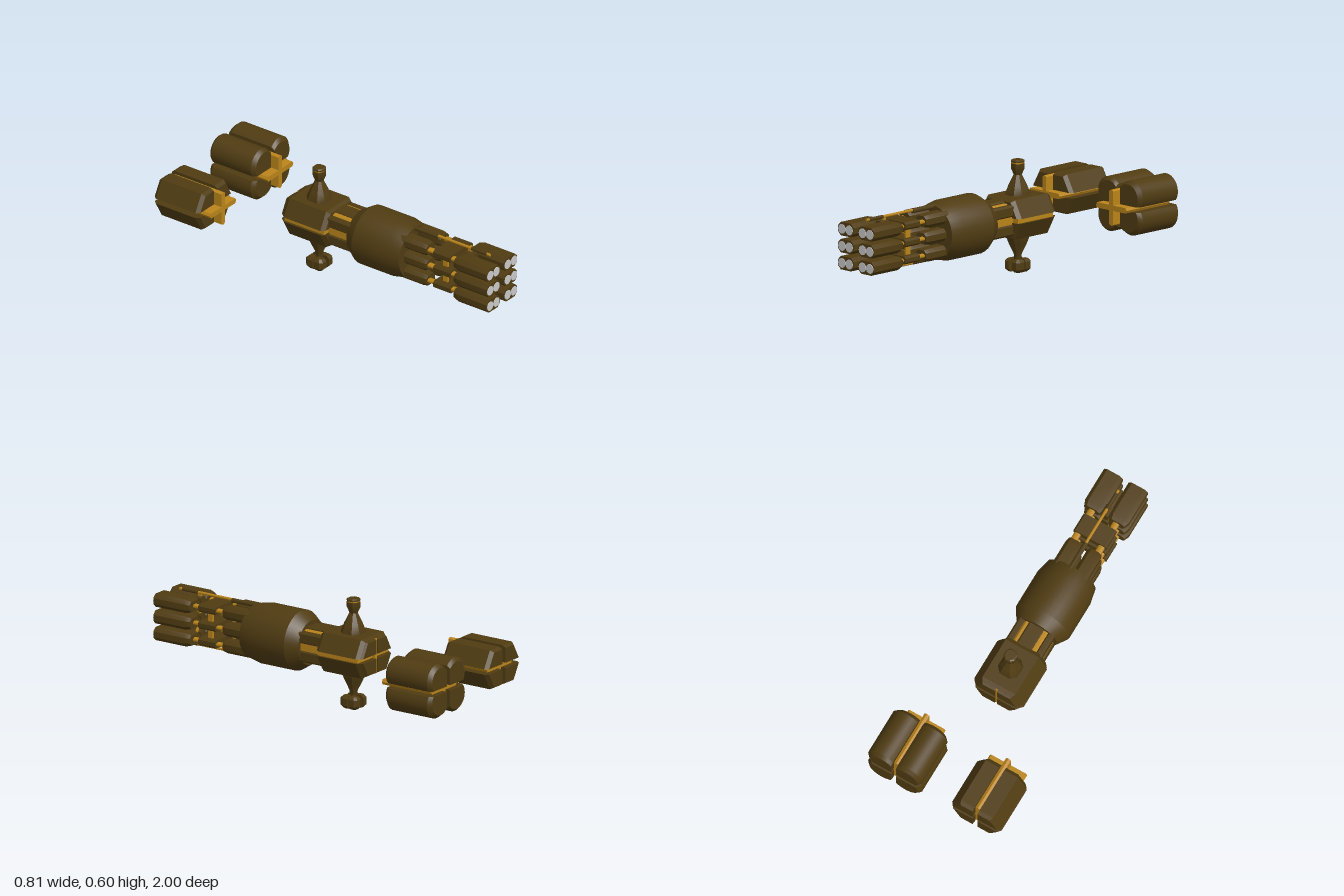
import * as THREE from 'three';
import { toCreasedNormals } from 'three/addons/utils/BufferGeometryUtils.js';

const hull = new THREE.MeshStandardMaterial({ color: 0x503c12 });
const gold = new THREE.MeshStandardMaterial({ color: 0xbb851a });
const grey = new THREE.MeshStandardMaterial({ color: 0xcccccc });
const SIDES = [-1, 1];
const CX = -0.008, CY = 0.308; // hull axis

// Convex profile [x, y] swept along z; each ring is [z, scaleX, scaleY] about the anchor
function loft(profile, rings, [ax, ay] = [0, 0]) {
  const pts = profile.map(([x, y]) => new THREE.Vector2(x, y));
  if (THREE.ShapeUtils.area(pts) < 0) pts.reverse();
  const n = pts.length, pos = [];
  const loops = rings.map(([z, sx, sy = sx]) =>
    pts.map(p => [ax + (p.x - ax) * sx, ay + (p.y - ay) * sy, z]));
  const tri = (a, b, c) => pos.push(...a, ...b, ...c);
  for (let i = 0; i < loops.length - 1; i++) {
    for (let j = 0; j < n; j++) {
      const k = (j + 1) % n, lo = loops[i], hi = loops[i + 1];
      tri(lo[j], lo[k], hi[k]);
      tri(lo[j], hi[k], hi[j]);
    }
  }
  const first = loops[0], last = loops[loops.length - 1];
  for (let j = 1; j < n - 1; j++) {
    tri(first[0], first[j + 1], first[j]);
    tri(last[0], last[j], last[j + 1]);
  }
  const g = new THREE.BufferGeometry();
  g.setAttribute('position', new THREE.Float32BufferAttribute(pos, 3));
  return toCreasedNormals(g, 0.4);
}

// Rectangle with cut corners
function octagon(w, h, c) {
  const x = w / 2, y = h / 2;
  return [[x, y - c], [x - c, y], [c - x, y], [-x, y - c], [-x, c - y], [c - x, -y], [x - c, -y], [x, c - y]];
}

function add(parent, name, geo, mat, x = 0, y = 0, z = 0) {
  const m = new THREE.Mesh(geo, mat);
  m.name = name;
  m.position.set(x, y, z);
  parent.add(m);
  return m;
}

const box = (w, h, d) => new THREE.BoxGeometry(w, h, d);

function rod(r, len) {
  return new THREE.CylinderGeometry(r, r, len, 8).rotateX(Math.PI / 2);
}

function group(parent, name, x = 0, y = 0, z = 0) {
  const g = new THREE.Group();
  g.name = name;
  g.position.set(x, y, z);
  parent.add(g);
  return g;
}

// Three rows of paired launcher pods with their supply rods
function buildPods(ship) {
  const g = group(ship, 'frontPods', CX, CY);
  const pod = loft(octagon(0.115, 0.072, 0.02), [[0.77, 0.8], [0.8, 1], [0.997, 1]]);
  const lens = new THREE.CylinderGeometry(0.026, 0.026, 0.006, 20).rotateX(Math.PI / 2);
  const collar = loft(octagon(0.2, 0.042, 0.01), [[0.62, 1], [0.73, 1]]);
  const socket = loft(octagon(0.085, 0.068, 0.018), [[0.4, 1], [0.55, 1], [0.575, 0.85]]);
  const bridge = loft(octagon(0.042, 0.064, 0.008), [[0.77, 1], [0.83, 1]]);
  for (const row of [-1, 0, 1]) {
    const y = row * 0.0915;
    for (const s of SIDES) {
      add(g, 'launcherPod', pod, hull, s * 0.075, y);
      add(g, 'podSocket', socket, hull, s * 0.061, y);
      add(g, 'supplyRod', rod(0.019, 0.25), gold, s * 0.073, y, 0.66).scale.y = 0.6;
      for (const o of SIDES) add(g, 'podLens', lens, grey, s * 0.076 + o * 0.027, y, 0.997);
    }
    add(g, 'podBridge', bridge, hull, 0, y);
    add(g, 'rodCollar', collar, hull, 0, y);
  }
  // Uprights and struts tying the rows together
  for (const s of SIDES) {
    add(g, 'collarUpright', box(0.012, 0.18, 0.03), gold, s * 0.06, 0, 0.675);
    for (const v of SIDES) {
      const strut = add(g, 'rowStrut', box(0.01, 0.055, 0.012), gold, s * 0.017, v * 0.048, 0.79);
      strut.rotation.z = -s * v * 0.7;
    }
  }
  // Long sensor booms above and below
  for (const v of SIDES) {
    add(g, 'boom', rod(0.008, 0.5), gold, 0, v * 0.142, 0.67);
    add(g, 'boomRoot', rod(0.013, 0.17), hull, 0, v * 0.138, 0.495);
    add(g, 'boomTip', rod(0.01, 0.1), hull, 0, v * 0.142, 0.85);
    add(g, 'boomBrace', box(0.012, 0.05, 0.02), gold, 0, v * 0.12, 0.79);
  }
}

// Drum and ribbed neck
function buildDrum(ship) {
  const g = group(ship, 'midSection', CX, CY);
  const circle = Array.from({ length: 32 }, (_, i) =>
    [Math.cos(i * Math.PI / 16), Math.sin(i * Math.PI / 16)]);
  add(g, 'drum', loft(circle, [[0.065, 0.122], [0.13, 0.163], [0.35, 0.163], [0.43, 0.146]]), hull);
  add(g, 'neckCore', loft(octagon(0.2, 0.17, 0.04), [[-0.08, 1], [0.08, 1]]), gold);
  const rib = loft(octagon(0.09, 0.036, 0.008), [[-0.08, 1], [0.08, 1]]);
  const sideRib = loft(octagon(0.04, 0.065, 0.01), [[-0.08, 1], [0.08, 1]]);
  for (const v of SIDES) {
    add(g, 'neckRib', rib, hull, 0, v * 0.079);
    for (const s of SIDES) add(g, 'neckSideRib', sideRib, hull, s * 0.087, v * 0.05);
  }
}

// Six-sided rear hull split into quarters by gold seams
function buildRearHull(ship) {
  const g = group(ship, 'rearHull', CX, CY);
  for (const v of SIDES) {
    const half = [[-0.15, 0.013], [0.15, 0.013], [0.1, 0.106], [-0.1, 0.106]].map(([x, y]) => [x, y * v]);
    add(g, 'hullHalf', loft(half, [[-0.345, 0.88], [-0.325, 1], [-0.085, 1], [-0.063, 0.88]], [0, 0.013 * v]), hull);
    for (const s of SIDES) {
      const end = [[0.007, 0.013], [0.132, 0.013], [0.088, 0.095], [0.007, 0.095]].map(([x, y]) => [x * s, y * v]);
      add(g, 'rearPlate', loft(end, [[-0.358, 0.93], [-0.344, 1]], [0.007 * s, 0.013 * v]), hull);
    }
  }
  add(g, 'sideSeam', box(0.272, 0.028, 0.26), gold, 0, 0, -0.2);
  add(g, 'rearSeam', box(0.014, 0.19, 0.02), gold, 0, 0, -0.34);
}

// Faceted tower standing along y, rings given as [height, half width]
function tower(parent, name, rings, mat, flip = 1) {
  const m = add(parent, name, loft(octagon(2, 2, 0.5), rings), mat);
  m.rotation.x = -flip * Math.PI / 2;
  return m;
}

function buildTowers(ship) {
  const g = group(ship, 'towers', CX, CY, -0.205);
  const cone = [[0.09, 0.06], [0.112, 0.06], [0.155, 0.045], [0.212, 0.02]];
  tower(g, 'upperTower', [...cone, [0.245, 0.033], [0.272, 0.033]], hull);
  tower(g, 'towerRing', [[0.27, 0.028], [0.281, 0.028]], gold);
  tower(g, 'towerCap', [[0.279, 0.033], [0.287, 0.033], [0.292, 0.027]], hull);
  tower(g, 'lowerTower', [...cone, [0.25, 0.017], [0.295, 0.014]], hull, -1);
  // Cluster of four small pods under the lower tower
  const corner = [[0.012, 0.004], [0.055, 0.004], [0.055, 0.04], [0.041, 0.055], [0.012, 0.055]];
  for (const s of SIDES) for (const t of SIDES) {
    const geo = loft(corner.map(([x, y]) => [x * s, y * t]),
      [[-0.307, 0.68], [-0.29, 1], [-0.252, 1], [-0.238, 0.72]], [0.012 * s, 0.004 * t]);
    add(g, 'lowerPod', geo, hull).rotation.x = -Math.PI / 2;
  }
}

// Detached nacelle: four quarter shells around a gold cross
function buildNacelle(ship, name, cx, quarter) {
  const g = group(ship, name, cx, CY);
  for (const s of SIDES) for (const v of SIDES) {
    const p = quarter.map(([x, y]) => [x * s, y * v]);
    add(g, 'quarterShell', loft(p, [[-1, 0.87], [-0.98, 1], [-0.72, 1], [-0.7, 0.87]],
      [0.015 * s, 0.0145 * v]), hull);
  }
  const bar = l => [[-0.0145, -l + 0.008], [0, -l], [0.0145, -l + 0.008], [0.0145, l - 0.008], [0, l], [-0.0145, l - 0.008]];
  const span = [[-0.97, 1], [-0.65, 1]];
  add(g, 'uprightBar', loft(bar(0.098), span), gold);
  add(g, 'crossBar', loft(bar(0.113), span), gold).rotation.z = Math.PI / 2;
}

export function createModel() {
  const ship = new THREE.Group();
  ship.name = 'spaceship';
  buildPods(ship);
  buildDrum(ship);
  buildRearHull(ship);
  buildTowers(ship);
  buildNacelle(ship, 'angularNacelle', -0.255,
    [[0.015, 0.0145], [0.15, 0.0145], [0.098, 0.107], [0.015, 0.107]]);
  // Round quarter: an arc cut off square at the two inner gaps
  const round = [[0.015, 0.0145]];
  const a0 = -0.6, a1 = 2.44;
  for (let i = 0; i <= 14; i++) {
    const a = a0 + (a1 - a0) * i / 14;
    round.push([Math.max(0.015, 0.08 + 0.085 * Math.cos(a)), Math.max(0.0145, 0.062 + 0.085 * Math.sin(a))]);
  }
  buildNacelle(ship, 'roundNacelle', 0.24, round);
  return ship;
}
